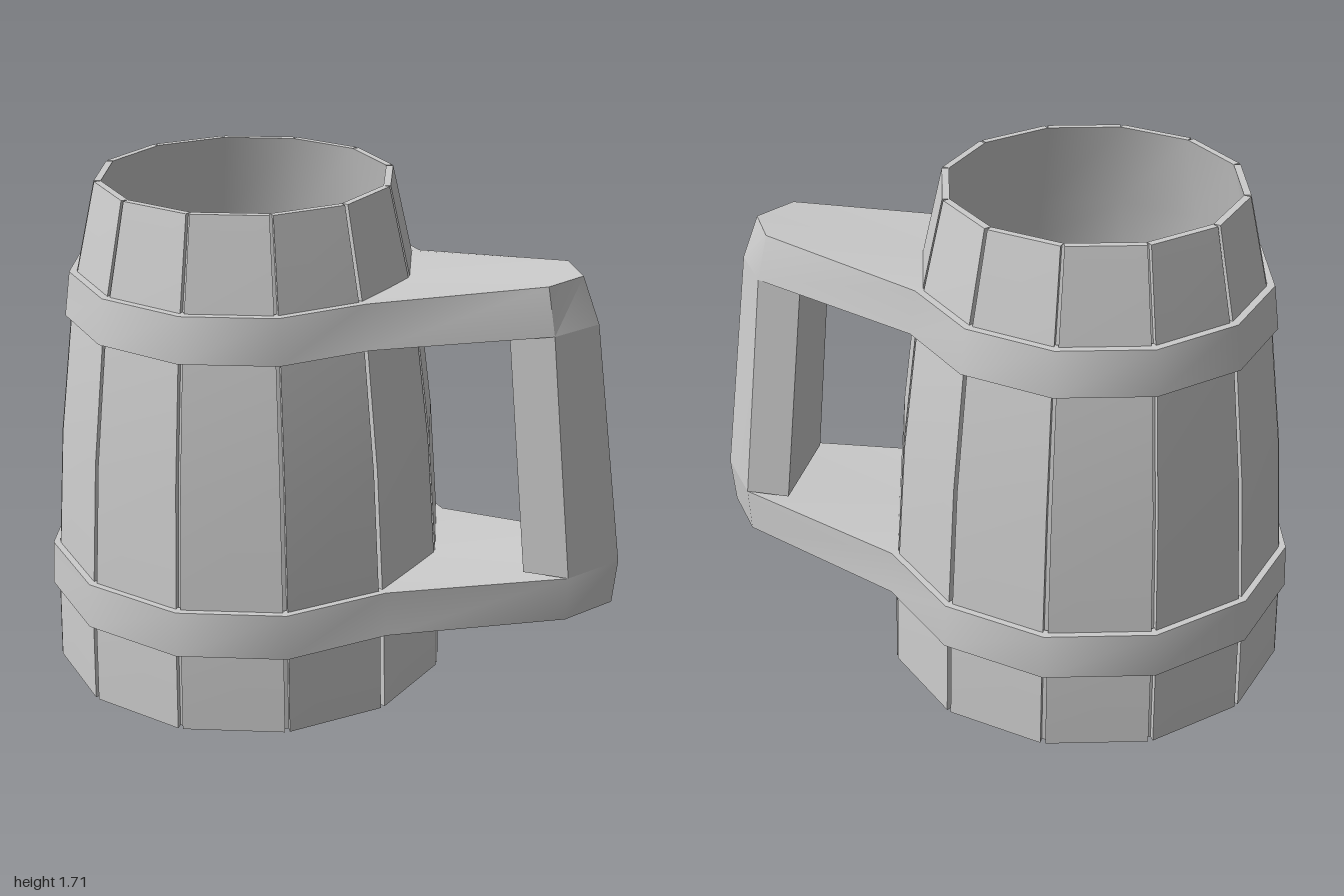
import * as THREE from 'three';
import { toCreasedNormals } from 'three/addons/utils/BufferGeometryUtils.js';

const CX = -0.3; // axis of the barrel
const SIDES = 12;
const WALL = 0.024;
// barrel profile: [y, corner radius]
const PROFILE = [[0, 0.687], [0.28, 0.681], [0.43, 0.671], [0.85, 0.642], [1.26, 0.592], [1.41, 0.565], [1.71, 0.497]];

const corner = (k, r, y) => {
  const a = (k / SIDES) * Math.PI * 2;
  return new THREE.Vector3(CX + r * Math.cos(a), y, r * Math.sin(a));
};

// joins closed rings of equal length, listed bottom to top for outward faces
function loft(name, rings, crease) {
  const pos = [];
  const tri = (a, b, c) => {
    const area = b.clone().sub(a).cross(c.clone().sub(a)).length();
    if (area > 1e-8) pos.push(...a.toArray(), ...b.toArray(), ...c.toArray());
  };
  for (let j = 0; j < rings.length - 1; j++) {
    const lo = rings[j], hi = rings[j + 1], n = lo.length;
    for (let i = 0; i < n; i++) {
      const m = (i + 1) % n;
      tri(lo[i], hi[i], lo[m]);
      tri(hi[i], hi[m], lo[m]);
    }
  }
  const geo = new THREE.BufferGeometry();
  geo.setAttribute('position', new THREE.Float32BufferAttribute(pos, 3));
  const mesh = new THREE.Mesh(toCreasedNormals(geo, crease), new THREE.MeshStandardMaterial({ color: 0xcccccc }));
  mesh.name = name;
  return mesh;
}

// twelve flat staves with a narrow groove at every corner
function staveRing(r, y, depth = 0.021, width = 0.024) {
  const ring = [];
  for (let k = 0; k < SIDES; k++) {
    const before = corner(k, r, y).lerp(corner(k - 1, r, y), width);
    const after = corner(k, r, y).lerp(corner(k + 1, r, y), width);
    const axis = new THREE.Vector3(CX, y, 0);
    const t = r > 0 ? depth / r : 0;
    ring.push(before, before.clone().lerp(axis, t), after.clone().lerp(axis, t), after);
  }
  return ring;
}

// same point count as a stave ring, without grooves
const plainRing = (r, y) => Array.from({ length: SIDES * 4 }, (_, i) => corner(Math.floor(i / 4), r, y));
const ring12 = (r, y) => Array.from({ length: SIDES }, (_, k) => corner(k, r, y));

// hoop whose +x side is drawn out into a pointed handle plate
// level: { y, r, side: [x, y, z], tip: [x, y] }
function hoop(name, low, high) {
  const outer = ({ y, r, side, tip }) => {
    const pts = [new THREE.Vector3(tip[0], tip[1], 0), new THREE.Vector3(...side)];
    for (let k = 1; k < SIDES; k++) pts.push(corner(k, r, y));
    pts.push(new THREE.Vector3(side[0], side[1], -side[2]));
    return pts;
  };
  const inner = ({ y, rIn }) => {
    const pts = [corner(0, rIn, y), corner(0, rIn, y)];
    for (let k = 1; k < SIDES; k++) pts.push(corner(k, rIn, y));
    pts.push(corner(0, rIn, y));
    return pts;
  };
  return loft(name, [inner(low), outer(low), outer(high), inner(high)], 0.75);
}

export function createModel() {
  const group = new THREE.Group();
  group.name = 'tankard';

  // staves with base and rim
  const topR = PROFILE[PROFILE.length - 1][1], topY = 1.71;
  group.add(loft('staves', [
    plainRing(0, 0),
    ...PROFILE.map(([y, r]) => staveRing(r, y)),
    plainRing(topR - WALL, topY),
  ], 0.4));

  // hollow inside, from rim down to the floor
  group.add(loft('lining', [
    ...PROFILE.slice(1).reverse().map(([y, r]) => ring12(r - WALL, y)),
    ring12(PROFILE[0][1] - WALL, WALL),
    ring12(0, WALL),
  ], 0.75));

  // hoops with handle plates
  const lowerTop = { y: 0.435, r: 0.693, rIn: 0.655, side: [0.87, 0.5, 0.18], tip: [1.0, 0.5] };
  const lowerBottom = { y: 0.28, r: 0.7, rIn: 0.664, side: [0.865, 0.345, 0.172], tip: [0.985, 0.345] };
  const upperTop = { y: 1.41, r: 0.59, rIn: 0.549, side: [0.755, 1.475, 0.14], tip: [0.835, 1.475] };
  const upperBottom = { y: 1.26, r: 0.61, rIn: 0.576, side: [0.785, 1.32, 0.16], tip: [0.893, 1.32] };
  group.add(hoop('lowerHoop', lowerBottom, lowerTop));
  group.add(hoop('upperHoop', upperBottom, upperTop));

  // upright grip between the plates
  const gripRing = ({ side: [x, y, z], tip }, back) => [
    [tip[0], 0], [x, z], [back, z], [back, -z], [x, -z],
  ].map(([px, pz]) => new THREE.Vector3(px, y, pz));
  group.add(loft('grip', [gripRing(lowerTop, 0.72), gripRing(upperBottom, 0.64)], 0.75));

  return group;
}
